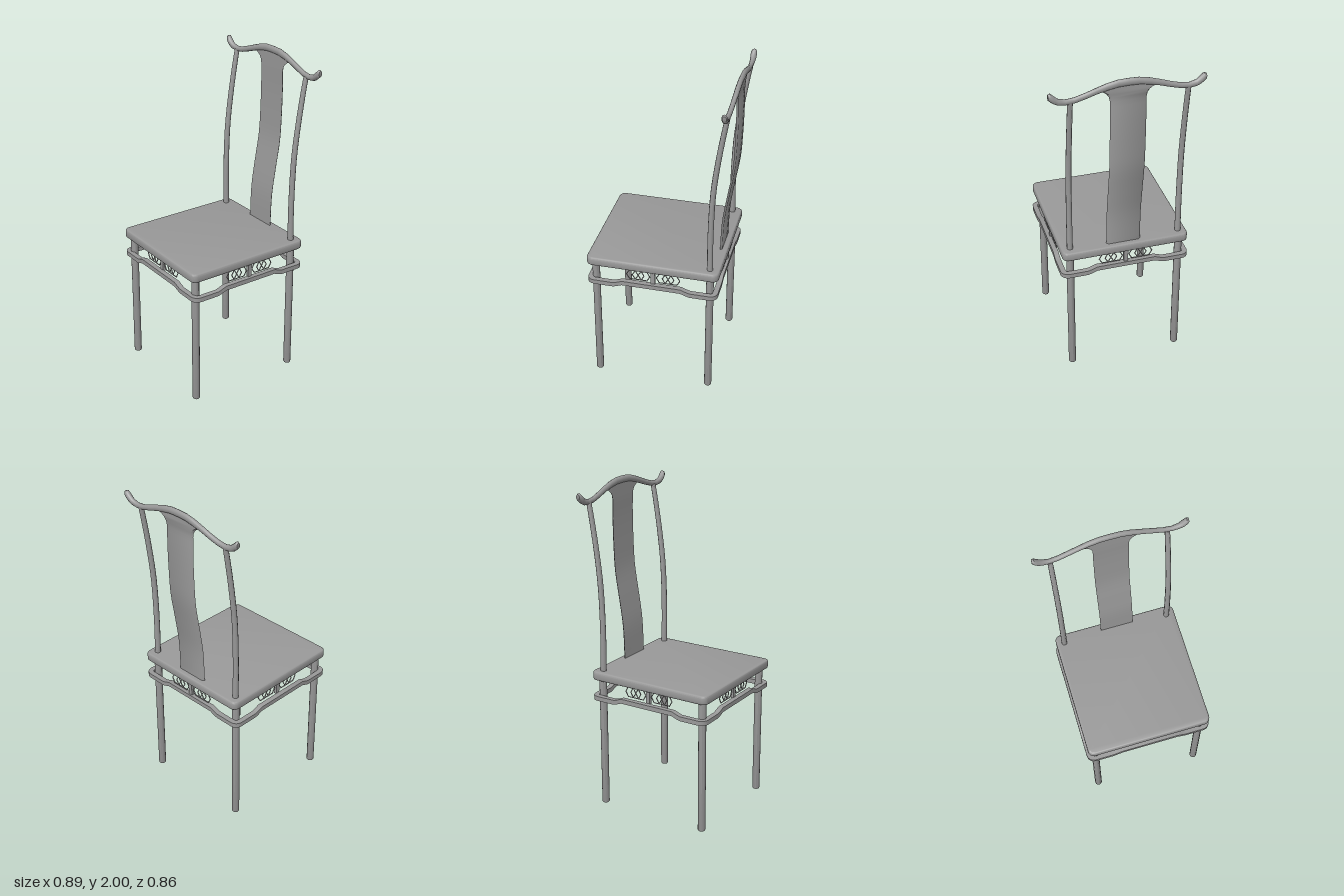
import * as THREE from 'three';
import { toCreasedNormals } from 'three/addons/utils/BufferGeometryUtils.js';

const CX = -0.01, CZ = 0.022; // middle of the seat
const material = new THREE.MeshStandardMaterial({ color: 0x999999 });

function add(parent, name, geometry, x = 0, y = 0, z = 0) {
  const mesh = new THREE.Mesh(geometry, material);
  mesh.name = name;
  mesh.position.set(x, y, z);
  parent.add(mesh);
  return mesh;
}

// Skin a row of sections, each running anticlockwise about the travel direction
function loft(sections, closed = false, crease = 0.7) {
  const n = sections.length, m = sections[0].length, index = [];
  for (let i = 0; i < (closed ? n : n - 1); i++) {
    for (let j = 0; j < m; j++) {
      const k = (j + 1) % m, r = ((i + 1) % n) * m;
      const a = i * m + j, b = i * m + k, c = r + k, d = r + j;
      index.push(a, b, c, a, c, d);
    }
  }
  if (!closed) {
    const e = (n - 1) * m;
    for (let j = 1; j < m - 1; j++) index.push(0, j + 1, j, e, e + j, e + j + 1);
  }
  const geometry = new THREE.BufferGeometry();
  geometry.setAttribute('position', new THREE.Float32BufferAttribute(sections.flat(2), 3));
  geometry.setIndex(index);
  return toCreasedNormals(geometry, crease);
}

const round = (count, point) =>
  Array.from({ length: count }, (_, j) => point(Math.cos(j / count * 2 * Math.PI), Math.sin(j / count * 2 * Math.PI)));

// Smooth (z, y) side curve sampled into points
const sideCurve = (pts, steps) =>
  new THREE.CatmullRomCurve3(pts.map(([z, y]) => new THREE.Vector3(0, y, z))).getPoints(steps);

// Seat board with rounded corners and softened edge
function seatGeometry() {
  const b = 0.012, w = 0.387 - b, d = 0.405 - b, r = 0.025;
  const s = new THREE.Shape();
  s.moveTo(-w + r, -d);
  s.lineTo(w - r, -d);
  s.absarc(w - r, -d + r, r, -Math.PI / 2, 0);
  s.absarc(w - r, d - r, r, 0, Math.PI / 2);
  s.absarc(-w + r, d - r, r, Math.PI / 2, Math.PI);
  s.absarc(-w + r, -d + r, r, Math.PI, Math.PI * 1.5);
  const g = new THREE.ExtrudeGeometry(s, {
    depth: 0.055 - 2 * b, bevelThickness: b, bevelSize: b, bevelSegments: 3, curveSegments: 3,
  });
  g.rotateX(-Math.PI / 2);
  return toCreasedNormals(g, 0.6);
}

// Humped rail that wraps round the outside of all four legs
function apronGeometry() {
  const hx = 0.396, hz = 0.401, r = 0.045, t = 0.032, low = 0.713, high = 0.732;
  const sections = [];
  for (let k = 0; k < 4; k++) {
    const a = k * Math.PI / 2;
    const [H, D] = k % 2 ? [hz, hx] : [hx, hz];
    const station = (s, dist, turn, y) => {
      const px = CX + Math.sin(a) * dist + Math.cos(a) * s;
      const pz = CZ + Math.cos(a) * dist - Math.sin(a) * s;
      const nx = Math.sin(a + turn), nz = Math.cos(a + turn);
      sections.push([[t, 1], [0, 1], [0, -1], [t, -1]].map(
        ([inset, up]) => [px - nx * inset, y + up * 0.014, pz - nz * inset]));
    };
    for (const [s, y] of [[-0.235, low], [-0.215, low + 0.006], [-0.18, high],
      [0.18, high], [0.215, low + 0.006], [0.235, low]]) station(s, D, 0, y);
    for (let i = 0; i <= 4; i++) {
      const q = i / 4 * Math.PI / 2;
      station(H - r + r * Math.sin(q), D - r + r * Math.cos(q), q, low);
    }
  }
  return loft(sections, true, 0.5);
}

// Yoke-shaped crest rail: half stations [x, y, z, half height, half depth], mirrored
function crestGeometry() {
  const half = [
    [0, 1.978, -0.414, 0.022, 0.015], [0.06, 1.976, -0.414, 0.022, 0.015],
    [0.12, 1.964, -0.413, 0.021, 0.015], [0.18, 1.946, -0.411, 0.019, 0.014],
    [0.24, 1.925, -0.409, 0.018, 0.014], [0.3, 1.907, -0.406, 0.017, 0.014],
    [0.35, 1.901, -0.404, 0.017, 0.014], [0.39, 1.909, -0.404, 0.02, 0.016],
    [0.415, 1.926, -0.404, 0.025, 0.019], [0.432, 1.941, -0.405, 0.026, 0.018],
    [0.445, 1.944, -0.406, 0.017, 0.012],
  ];
  const rows = [...half.slice(1).reverse().map(([x, ...rest]) => [-x, ...rest]), ...half];
  return loft(rows.map(([x, y, z, ry, rz]) => round(10, (c, s) => [x, y + ry * c, z + rz * s])), false, 0.9);
}

// Curved back splat with softened rear edges, flaring out into the crest
function splatGeometry() {
  const path = sideCurve([[-0.343, 0.86], [-0.351, 1.08], [-0.375, 1.25], [-0.403, 1.43],
    [-0.411, 1.58], [-0.414, 1.75], [-0.412, 1.87]], 24).map((p) => [p.z, p.y, 0.104]);
  for (const [y, w] of [[1.895, 0.109], [1.915, 0.122], [1.932, 0.145], [1.945, 0.178], [1.965, 0.12], [1.98, 0.05]]) {
    path.push([-0.412, y, w]);
  }
  const t = 0.006, soft = 0.012;
  return loft(path.map(([z, y, w]) =>
    [[-w, y, z + t], [w, y, z + t], [w - soft, y, z - t], [-w + soft, y, z - t]]), false, 1);
}

// Back post: slimmer than the leg, leaning back towards the crest
function postGeometry() {
  const path = sideCurve([[-0.325, 0.85], [-0.322, 1.1], [-0.332, 1.4], [-0.357, 1.62],
    [-0.385, 1.8], [-0.403, 1.9]], 18);
  return loft(path.map((p, i) => {
    const r = 0.018 - 0.003 * i / 18;
    return round(10, (c, s) => [r * s, p.y, p.z + r * c]);
  }), false, 0.9);
}

// Centre strut flanked by two chains of interlocked hexagon rings
function fretwork() {
  const group = new THREE.Group();
  add(group, 'strut', new THREE.BoxGeometry(0.026, 0.095, 0.018), 0, 0.787, 0);
  const ring = toCreasedNormals(new THREE.TorusGeometry(0.036, 0.0035, 6, 6), 0.9);
  for (const side of [-1, 1]) {
    for (let i = 0; i < 3; i++) add(group, 'hexagonRing', ring, side * (0.056 + i * 0.036), 0.787, 0);
  }
  return group;
}

export function createModel() {
  const chair = new THREE.Group();
  chair.name = 'chair';

  add(chair, 'seat', seatGeometry(), CX, 0.835, CZ);
  add(chair, 'apronRail', apronGeometry());

  // Legs with lightly chamfered feet, and posts above the back pair
  const leg = toCreasedNormals(new THREE.LatheGeometry(
    [[0, 0], [0.019, 0], [0.023, 0.006], [0.023, 0.84], [0, 0.84]].map(([x, y]) => new THREE.Vector2(x, y)), 12), 0.7);
  const post = postGeometry();
  for (const [label, x, postX] of [['Right', -0.351, -0.346], ['Left', 0.323, 0.323]]) {
    add(chair, 'front' + label + 'Leg', leg, x, 0, 0.378);
    add(chair, 'back' + label + 'Leg', leg, x, 0, -0.326);
    add(chair, 'back' + label + 'Post', post, postX);
  }

  // Fretwork between the seat and the rail on each side
  for (const [name, x, z, turn] of [
    ['frontFretwork', CX, 0.387, 0], ['backFretwork', CX, -0.361, Math.PI],
    ['leftFretwork', 0.357, 0.014, Math.PI / 2], ['rightFretwork', -0.364, 0.014, -Math.PI / 2]]) {
    const group = fretwork();
    group.name = name;
    group.position.set(x, 0, z);
    group.rotation.y = turn;
    chair.add(group);
  }

  add(chair, 'backSplat', splatGeometry());
  add(chair, 'crestRail', crestGeometry());
  return chair;
}
